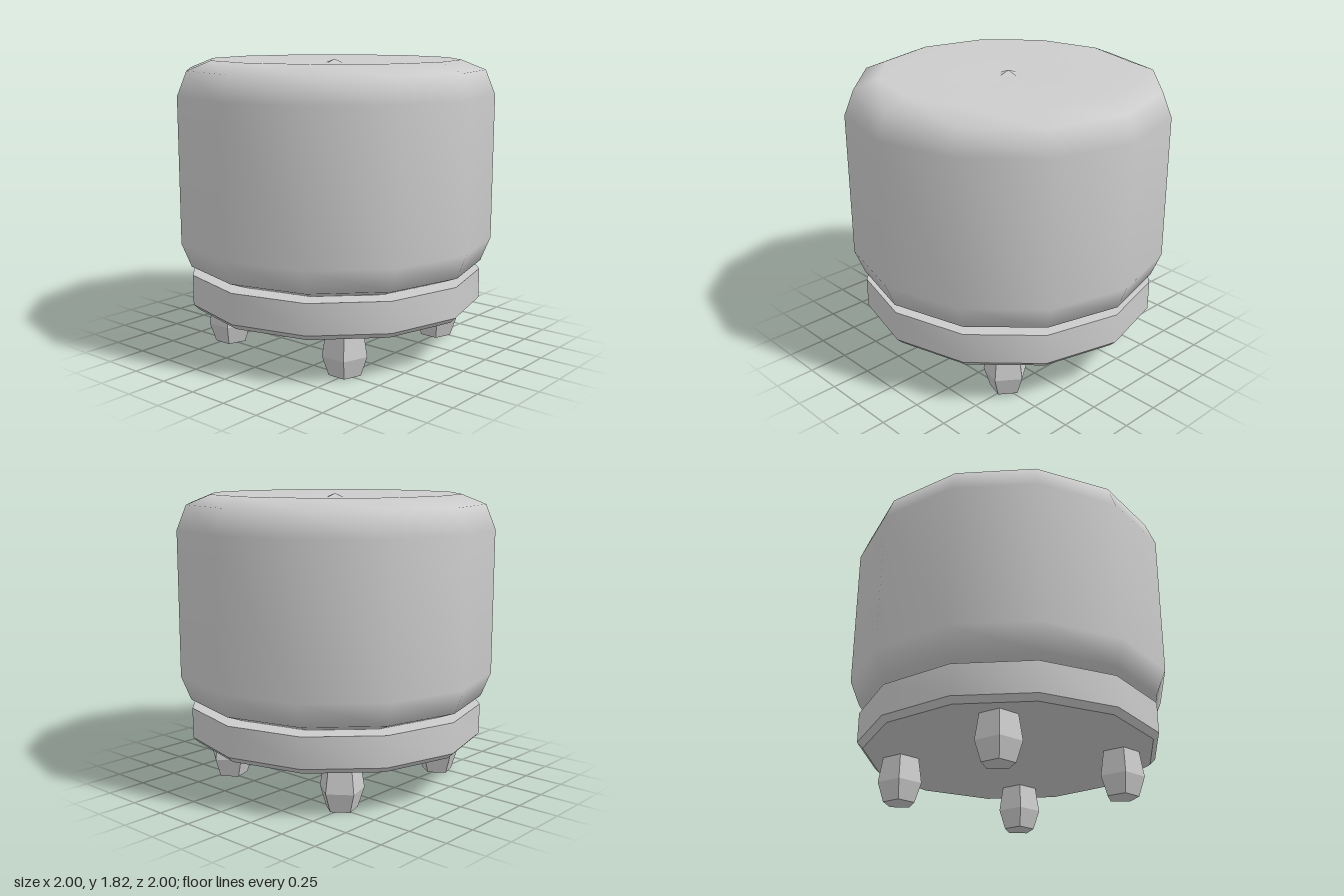
import * as THREE from 'three';
import { toCreasedNormals } from 'three/addons/utils/BufferGeometryUtils.js';

const grey = new THREE.MeshStandardMaterial({ color: 0xcccccc });
grey.name = 'grey';

// Turned shape from [radius, height] pairs, listed bottom to top
function turned(profile, sides, phiStart = 0) {
  return new THREE.LatheGeometry(profile.map(([r, y]) => new THREE.Vector2(r, y)), sides, phiStart);
}

function part(name, geometry) {
  const mesh = new THREE.Mesh(geometry, grey);
  mesh.name = name;
  return mesh;
}

export function createModel() {
  const group = new THREE.Group();
  group.name = 'pouf';

  // Soft twelve-sided cushion with a slight dip at the centre of the top
  group.add(part('cushion', turned([
    [0, 0.5], [0.79, 0.5], [0.94, 0.56], [1, 0.71],
    [1, 1.61], [0.94, 1.76], [0.79, 1.82], [0, 1.795],
  ], 12)));

  // Button sunk in the dip
  const button = part('button', toCreasedNormals(new THREE.ConeGeometry(0.075, 0.025, 4), 0.1));
  button.position.y = 1.807;
  group.add(button);

  // Base plate with a small bevel along the bottom edge
  group.add(part('base', toCreasedNormals(turned([
    [0, 0.28], [0.9, 0.28], [0.935, 0.315], [0.935, 0.505], [0, 0.505],
  ], 12), 0.6)));

  // Four faceted five-sided feet
  const footGeometry = toCreasedNormals(turned([
    [0, 0], [0.1, 0], [0.14, 0.12], [0.112, 0.3], [0, 0.3],
  ], 5, Math.PI / 2), 0.1);
  for (const x of [-0.48, 0.48]) {
    for (const z of [-0.48, 0.48]) {
      const foot = part('foot', footGeometry);
      foot.position.set(x, 0, z);
      group.add(foot);
    }
  }
  return group;
}
